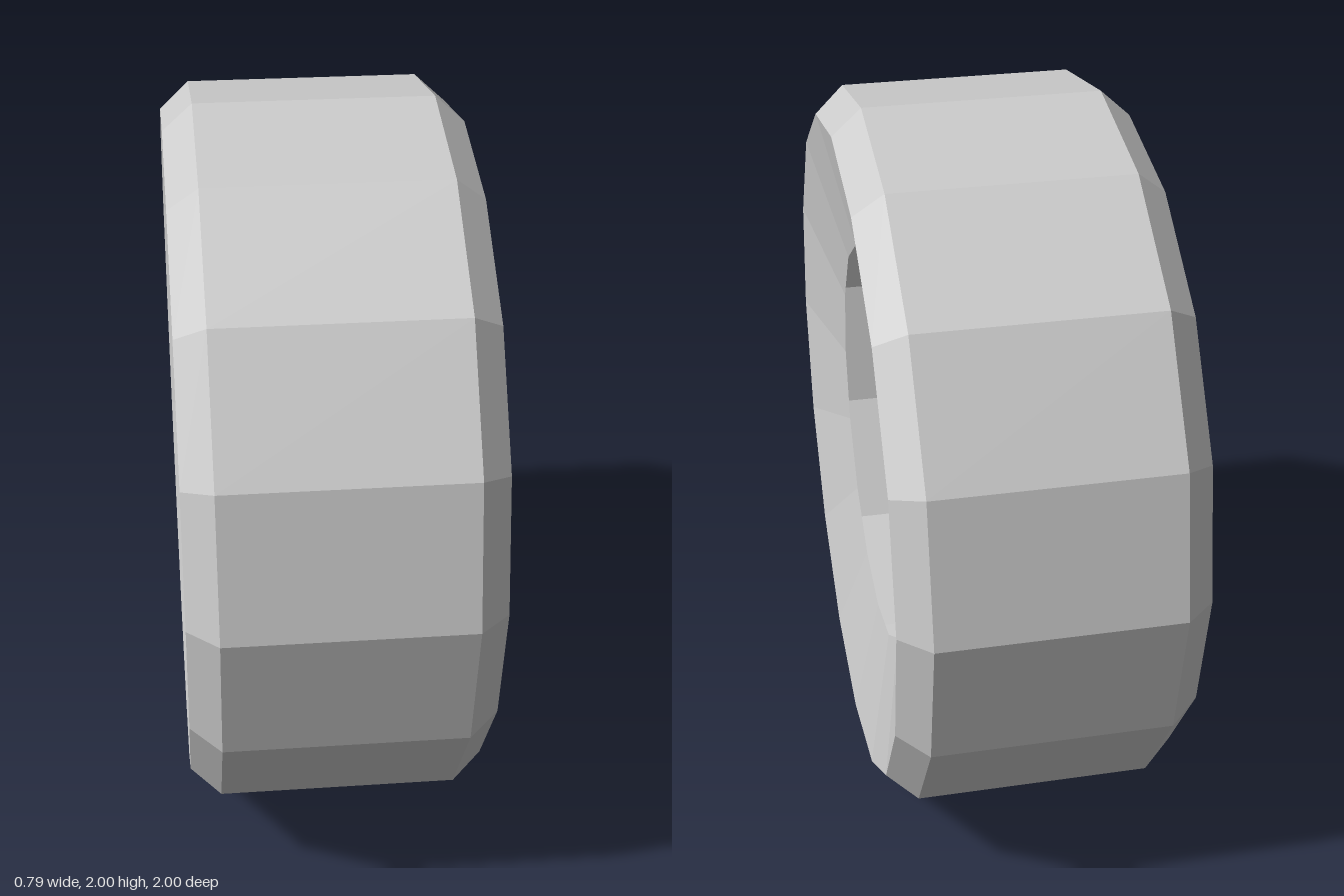
import * as THREE from 'three';

const SIDES = 16;

export function createModel() {
  const wheel = new THREE.Group();
  wheel.name = 'wheel';

  const grey = new THREE.MeshStandardMaterial({ color: 0xcccccc, flatShading: true, side: THREE.DoubleSide });
  grey.name = 'light grey';

  // Each part is a faceted ring swept about the axle, given as [radius, x] pairs
  const ring = (name, ...profile) => {
    const points = profile.map(([r, x]) => new THREE.Vector2(r, x));
    const mesh = new THREE.Mesh(new THREE.LatheGeometry(points, SIDES), grey);
    mesh.name = name;
    mesh.rotation.z = -Math.PI / 2; // lathe axis onto the x axle
    mesh.position.y = 1;
    wheel.add(mesh);
  };

  // Closed right side: pointed hub cap in a sunken dish
  ring('hubCap', [0, -0.36], [0.22, -0.24]);
  ring('hubDish', [0.22, -0.24], [0.56, -0.317]);
  ring('rightSidewall', [0.56, -0.317], [0.927, -0.397]);

  // Tread with a bevel at each shoulder
  ring('rightShoulder', [0.927, -0.397], [1, -0.317]);
  ring('tread', [1, -0.317], [1, 0.317]);
  ring('leftShoulder', [1, 0.317], [0.927, 0.397]);

  // Open left side: the sidewall stops at a hole into the hollow wheel
  ring('leftSidewall', [0.927, 0.397], [0.56, 0.317]);

  return wheel;
}
